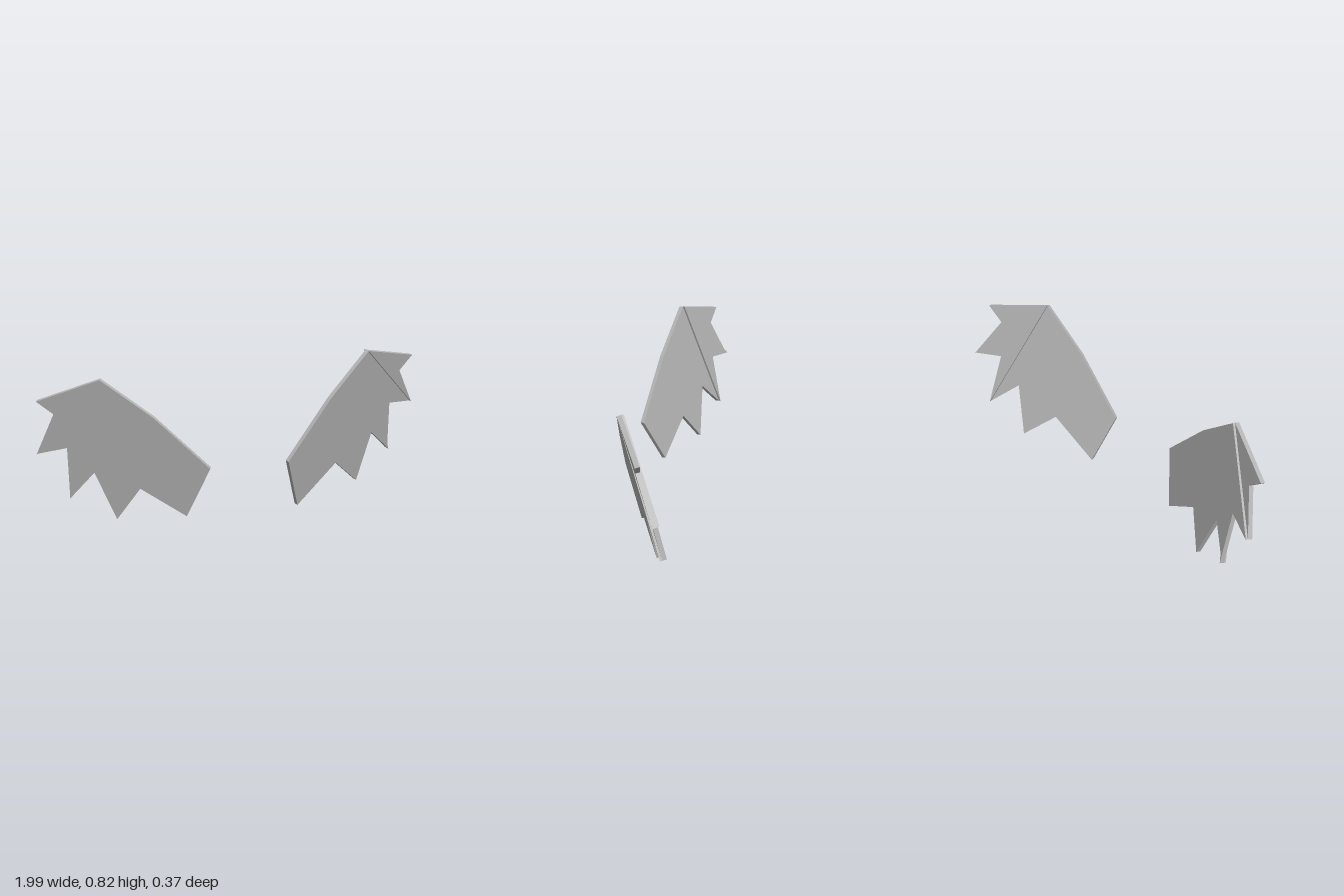
import * as THREE from 'three';

const THICKNESS = 0.022;
const STEP = 0.011; // the middle feather panel sits slightly behind its neighbours

// Outline order: inner, shoulder, apex, then tips and notches round to the lower inner tip
const leftOutline = [
  [0.193, 0.293], [0.424, 0.596], [0.637, 0.816], [0.95, 0.753], [0.873, 0.678], [0.994, 0.484],
  [0.846, 0.496], [0.877, 0.227], [0.733, 0.352], [0.668, 0.086], [0.508, 0.224], [0.28, 0.031],
];
const rightOutline = [
  [-0.213, 0.294], [-0.479, 0.557], [-0.719, 0.743], [-1.0, 0.626], [-0.922, 0.563], [-1.0, 0.345],
  [-0.863, 0.381], [-0.847, 0.108], [-0.735, 0.257], [-0.626, 0.002], [-0.524, 0.176], [-0.306, 0.031],
];

// Flat plate with a given front outline, laid on a tilted plane and thickened along its normal
function plate(points, normal, anchor, setBack) {
  const shape = new THREE.Shape(points.map(([x, y]) => new THREE.Vector2(x, y)));
  const geo = new THREE.ExtrudeGeometry(shape, { depth: THICKNESS, bevelEnabled: false });
  const pos = geo.attributes.position;
  for (let i = 0; i < pos.count; i++) {
    const x = pos.getX(i), y = pos.getY(i);
    const w = pos.getZ(i) - THICKNESS - setBack;
    const z = anchor.z - (normal.x * (x - anchor.x) + normal.y * (y - anchor.y)) / normal.z;
    pos.setXYZ(i, x + normal.x * w, y + normal.y * w, z + normal.z * w);
  }
  geo.computeVertexNormals();
  return geo;
}

// One wing: a broad main panel and two feather panels fanning out from the apex
function wing(name, outline, normal, anchor, material) {
  const group = new THREE.Group();
  group.name = name;
  const panels = [
    ['mainPanel', [0, 1, 2, 7, 8, 9, 10, 11], 0],
    ['middleFeather', [2, 5, 6, 7], STEP],
    ['upperFeather', [2, 3, 4, 5], 0],
  ];
  for (const [label, ids, setBack] of panels) {
    const mesh = new THREE.Mesh(plate(ids.map((i) => outline[i]), normal, anchor, setBack), material);
    mesh.name = label;
    group.add(mesh);
  }
  return group;
}

export function createModel() {
  const grey = new THREE.MeshStandardMaterial({ color: 0xb4b4b4 });
  grey.name = 'grey';

  const model = new THREE.Group();
  model.name = 'wings';
  model.add(
    wing('leftWing', leftOutline, new THREE.Vector3(0.36, -0.21, 0.91).normalize(),
      new THREE.Vector3(0.637, 0.816, 0.135), grey),
    wing('rightWing', rightOutline, new THREE.Vector3(-0.4, -0.194, 0.897).normalize(),
      new THREE.Vector3(-0.213, 0.294, 0.187), grey),
  );
  return model;
}
